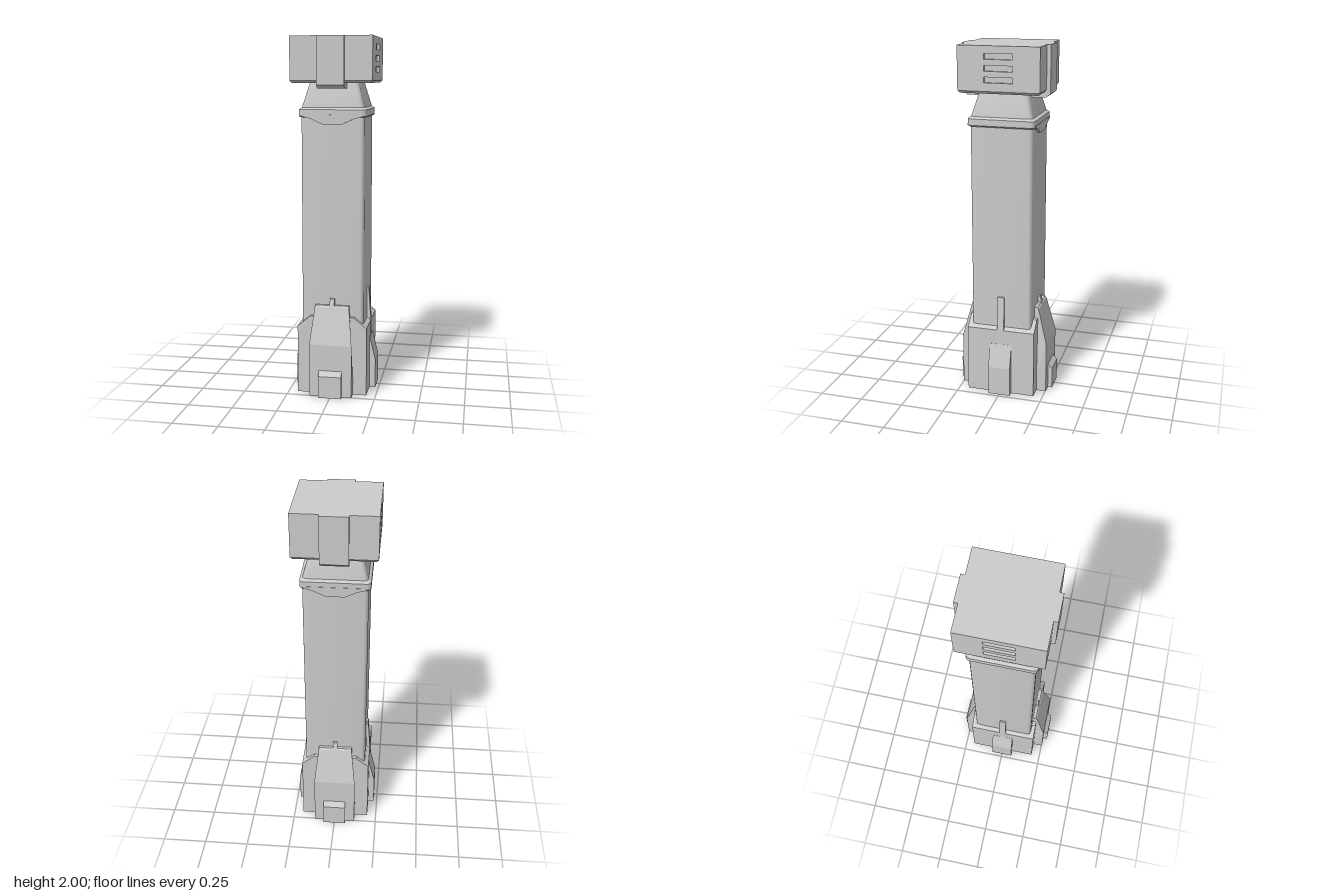
import * as THREE from 'three';
import { toCreasedNormals } from 'three/addons/utils/BufferGeometryUtils.js';

const grey = new THREE.MeshStandardMaterial({ color: 0xcccccc });

function add(parent, name, geo, angle = 0) {
  const mesh = new THREE.Mesh(geo, grey);
  mesh.name = name;
  mesh.rotation.y = angle;
  parent.add(mesh);
  return mesh;
}

// Points around a square of half-width h, corners rounded by r
function ring(h, r) {
  const pts = [], n = r > 0 ? 4 : 0;
  for (let c = 0; c < 4; c++) {
    const mid = Math.PI / 4 + c * Math.PI / 2;
    const cx = Math.sign(Math.cos(mid)) * (h - r), cz = Math.sign(Math.sin(mid)) * (h - r);
    for (let i = 0; i <= n; i++) {
      const a = c * Math.PI / 2 + (n ? i / n : 0) * Math.PI / 2;
      pts.push([cx + r * Math.cos(a), cz + r * Math.sin(a)]);
    }
  }
  return pts;
}

// Stacked square sections [halfWidth, y], capped at both ends
function loft(sections, r) {
  const rings = sections.map(([h, y]) => ring(h, r).map(([x, z]) => [x, y, z]));
  const n = rings[0].length, v = [];
  const last = rings.length - 1;
  for (let i = 0; i < n; i++) {
    const j = (i + 1) % n;
    for (let k = 0; k < last; k++) {
      const a = rings[k][i], b = rings[k][j], c = rings[k + 1][j], d = rings[k + 1][i];
      v.push(...a, ...d, ...b, ...b, ...d, ...c);
    }
    v.push(0, sections[0][1], 0, ...rings[0][i], ...rings[0][j]);
    v.push(0, sections[last][1], 0, ...rings[last][j], ...rings[last][i]);
  }
  const geo = new THREE.BufferGeometry();
  geo.setAttribute('position', new THREE.Float32BufferAttribute(v, 3));
  return toCreasedNormals(geo, 0.5);
}

const shapeOf = (pts) => new THREE.Shape(pts.map(([x, y]) => new THREE.Vector2(x, y)));

// Outline of (z, y) points extruded to a given width along x
function prism(pts, width) {
  const geo = new THREE.ExtrudeGeometry(shapeOf(pts), { depth: width, bevelEnabled: false });
  return geo.translate(0, 0, -width / 2).rotateY(-Math.PI / 2);
}

// Outline of (x, y) points, mirrored across x, extruded between two z values
function plate(half, z0, z1) {
  const pts = [...half, ...half.map(([x, y]) => [-x, y]).reverse()];
  const geo = new THREE.ExtrudeGeometry(shapeOf(pts), { depth: z1 - z0, bevelEnabled: false });
  return geo.translate(0, 0, z0);
}

function box(w, h, d, y) {
  return new THREE.BoxGeometry(w, h, d).translate(0, y, 0);
}

// Wide buttress, narrowing and leaning inward above its shoulder
function buttress() {
  const geo = prism([[0.17, 0], [0.253, 0], [0.253, 0.3], [0.2, 0.505], [0.192, 0.515], [0.17, 0.515]], 0.24);
  const p = geo.attributes.position;
  for (let i = 0; i < p.count; i++) {
    const t = Math.max(0, (p.getY(i) - 0.3) / 0.215);
    p.setX(i, p.getX(i) * (1 - 0.2 * t));
  }
  geo.computeVertexNormals();
  return geo;
}

// Head cheek with three recessed slots
function ventPlate() {
  const shape = shapeOf([[-0.225, 1.763], [0.225, 1.763], [0.225, 2], [-0.225, 2]]);
  for (const y of [1.823, 1.883, 1.945]) {
    const hole = new THREE.Path();
    hole.moveTo(-0.078, y - 0.015).lineTo(-0.078, y + 0.015);
    hole.lineTo(0.078, y + 0.015).lineTo(0.078, y - 0.015).closePath();
    shape.holes.push(hole);
  }
  const geo = new THREE.ExtrudeGeometry(shape, { depth: 0.015, bevelEnabled: false });
  return geo.translate(0, 0, 0.21);
}

export function createModel() {
  const model = new THREE.Group();
  model.name = 'handle';

  // Shaft, collar and neck
  add(model, 'shaft', loft([[0.175, 0.3], [0.175, 1.59]], 0.022));
  add(model, 'collar', loft([[0.183, 1.565], [0.188, 1.572], [0.188, 1.607], [0.173, 1.618]], 0.025));
  add(model, 'neck', loft([[0.173, 1.6], [0.172, 1.622], [0.132, 1.765]], 0.025));

  // Head
  const head = new THREE.Group();
  head.name = 'head';
  model.add(head);
  add(head, 'headCore', box(0.42, 0.237, 0.45, 1.8815));
  add(head, 'headBottomBevel', loft([[0.214, 1.75], [0.225, 1.763]], 0));

  // Base
  const base = new THREE.Group();
  base.name = 'base';
  model.add(base);
  add(base, 'baseBody', loft([[0.197, 0], [0.197, 0.392], [0.172, 0.41]], 0));

  // Front and back
  for (const a of [0, Math.PI]) {
    add(model, 'collarFlap', plate([[0.165, 1.58], [0.165, 1.57], [0.12, 1.558], [0.05, 1.526]], 0.165, 0.19), a);
    add(head, 'headPad', prism([[0.14, 1.72], [0.22, 1.72], [0.247, 1.74], [0.247, 2], [0.2, 2], [0.2, 1.77], [0.14, 1.77]], 0.15), a);
    add(base, 'baseRim', plate([[0.197, 0.35], [0.197, 0.392], [0.17, 0.412], [0.125, 0.45]], 0.17, 0.197), a);
    add(base, 'buttress', buttress(), a);
    add(base, 'buttressTip', prism([[0.17, 0.49], [0.203, 0.49], [0.188, 0.553], [0.17, 0.553]], 0.026), a);
    add(base, 'footBlock', prism([[0.24, 0], [0.278, 0], [0.278, 0.125], [0.253, 0.152], [0.24, 0.152]], 0.13), a);
  }

  // Left and right
  for (const a of [Math.PI / 2, -Math.PI / 2]) {
    add(head, 'ventPlate', ventPlate(), a);
    add(base, 'sideRidge', prism([[0.18, 0], [0.231, 0], [0.231, 0.17], [0.198, 0.305], [0.18, 0.305]], 0.128), a);
    add(base, 'sideFin', prism([[0.165, 0.3], [0.198, 0.3], [0.197, 0.4], [0.184, 0.59], [0.165, 0.59]], 0.038), a);
  }
  return model;
}
